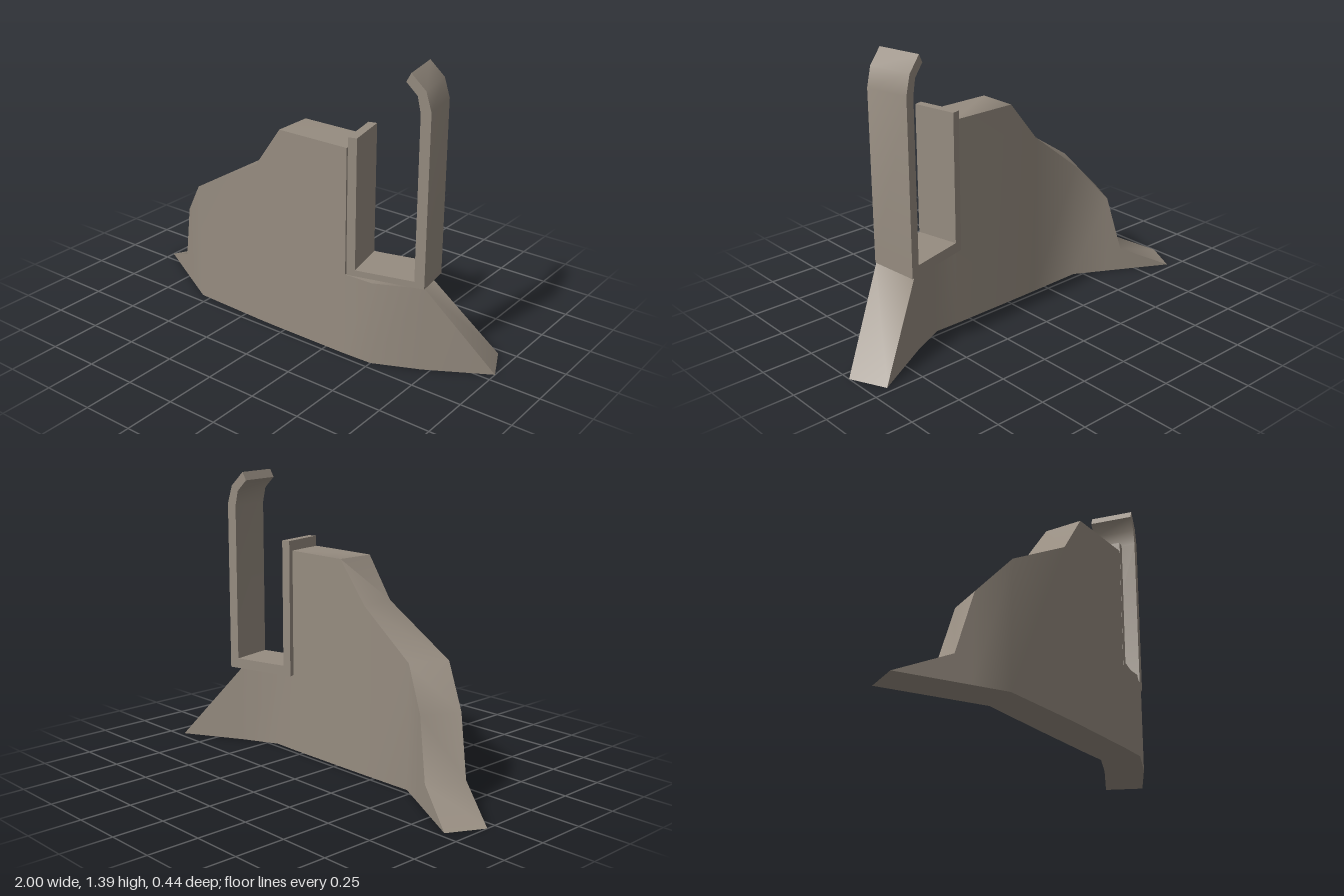
import * as THREE from 'three';
import { toCreasedNormals } from 'three/addons/utils/BufferGeometryUtils.js';

const CREASE = 0.9;

// Bent slab from upright sections: [frontX, frontZ, backX, backZ, topFront, topBack]
function slabGeometry(sections) {
  const pos = [];
  const tri = (a, b, c) => {
    const area = b.clone().sub(a).cross(c.clone().sub(a)).length();
    if (area > 1e-6) for (const p of [a, b, c]) pos.push(p.x, p.y, p.z);
  };
  const quad = (a, b, c, d) => { tri(a, b, c); tri(a, c, d); };
  // corners of each section: front bottom, front top, back top, back bottom
  const rings = sections.map(([fx, fz, bx, bz, tf, tb = tf]) => [
    new THREE.Vector3(fx, 0, fz), new THREE.Vector3(fx, tf, fz),
    new THREE.Vector3(bx, tb, bz), new THREE.Vector3(bx, 0, bz),
  ]);
  for (let i = 0; i < rings.length - 1; i++) {
    const p = rings[i], q = rings[i + 1];
    for (let k = 0; k < 4; k++) {
      const n = (k + 1) % 4;
      quad(p[k], q[k], q[n], p[n]);
    }
  }
  const geo = new THREE.BufferGeometry();
  geo.setAttribute('position', new THREE.Float32BufferAttribute(pos, 3));
  return toCreasedNormals(geo, CREASE);
}

// Hooked U channel, swept backwards at a slant
function channelGeometry() {
  const outline = [
    [0.36, 0.41], [0.715, 0.41], [0.715, 1.23], [0.69, 1.32], [0.625, 1.39],
    [0.605, 1.35], [0.655, 1.295], [0.67, 1.22], [0.67, 0.44], [0.40, 0.44],
    [0.40, 1.07], [0.36, 1.07],
  ];
  const shape = new THREE.Shape(outline.map(([x, y]) => new THREE.Vector2(x, y)));
  const geo = new THREE.ExtrudeGeometry(shape, { depth: 1, bevelEnabled: false });
  const p = geo.attributes.position;
  for (let i = 0; i < p.count; i++) {
    const x = p.getX(i), y = p.getY(i), back = 1 - p.getZ(i);
    const drop = y < 0.42 ? 0.02 * back : 0;
    p.setXYZ(i, x - 0.045 * back, y - drop, 0.215 - 0.264 * (x - 0.36) - 0.215 * back);
  }
  return toCreasedNormals(geo, CREASE);
}

export function createModel() {
  const group = new THREE.Group();
  const stone = new THREE.MeshStandardMaterial({ color: 0x968c80 });
  stone.name = 'warm grey';

  const add = (name, geometry) => {
    const mesh = new THREE.Mesh(geometry, stone);
    mesh.name = name;
    group.add(mesh);
  };

  // Curved wall with a stepped silhouette and a notch for the channel
  add('curvedWall', slabGeometry([
    [-1.0, -0.05, -0.91, -0.22, 0],
    [-0.77, 0.078, -0.68, -0.092, 0.12],
    [-0.70, 0.117, -0.61, -0.053, 0.41],
    [-0.55, 0.20, -0.46, 0.03, 0.60],
    [-0.16, 0.215, -0.18, 0.026, 0.82],
    [-0.02, 0.217, -0.02, 0.025, 1.02],
    [0.355, 0.217, 0.325, 0.025, 1.02],
    [0.355, 0.217, 0.325, 0.025, 0.41, 0.39],
    [0.50, 0.212, 0.45, 0.028, 0.41, 0.39],
    [0.715, 0.115, 0.625, -0.055, 0.41, 0.39],
    [1.0, -0.05, 0.92, -0.22, 0],
  ]));

  // Channel with a short arm and a tall arm hooked inwards
  add('hookedChannel', channelGeometry());

  return group;
}
